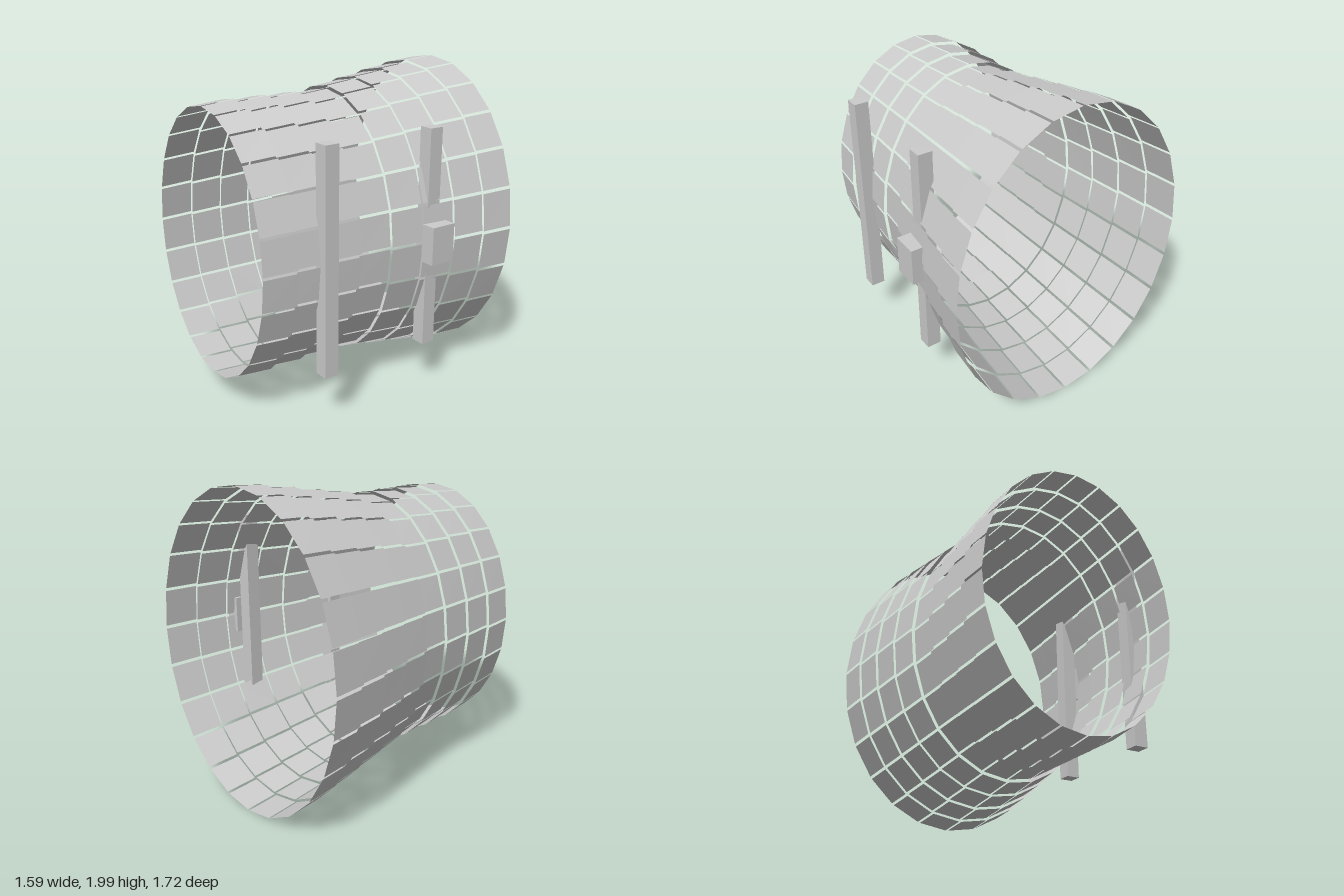
import * as THREE from 'three';

const CENTRE_Y = 1.003;
const SIDES = 24;
const FILL = 0.92; // share of each angular step covered by a panel
const RING_DEPTH = 1.715 / 8;

// One ring of flat panels, flaring from half-height b0 (front) to b1 (back)
function panelRing(zFront, b0, b1) {
  const zBack = zFront - RING_DEPTH;
  const step = (Math.PI * 2) / SIDES;
  const point = (b, angle, z) => [(b - 0.2) * Math.cos(angle), CENTRE_Y + b * Math.sin(angle), z];
  const positions = [];
  for (let i = 0; i < SIDES; i++) {
    const mid = (i + 0.5) * step;
    const a0 = mid - (step * FILL) / 2;
    const a1 = mid + (step * FILL) / 2;
    const f0 = point(b0, a0, zFront), f1 = point(b0, a1, zFront);
    const r0 = point(b1, a0, zBack), r1 = point(b1, a1, zBack);
    positions.push(...f0, ...r0, ...r1, ...f0, ...r1, ...f1);
  }
  const geometry = new THREE.BufferGeometry();
  geometry.setAttribute('position', new THREE.Float32BufferAttribute(positions, 3));
  geometry.computeVertexNormals();
  return geometry;
}

export function createModel() {
  const model = new THREE.Group();
  model.name = 'panelTunnel';
  const grey = new THREE.MeshStandardMaterial({
    name: 'plain grey', color: 0xcccccc, flatShading: true, side: THREE.DoubleSide,
  });

  // Tunnel: four equal rings, then four that widen towards the back
  const tunnel = new THREE.Group();
  tunnel.name = 'tunnelShell';
  const flares = [
    [0.83, 0.85], [0.83, 0.85], [0.83, 0.85], [0.83, 0.85],
    [0.87, 0.893], [0.907, 0.928], [0.944, 0.964], [0.979, 0.997],
  ];
  flares.forEach(([b0, b1], i) => {
    const ring = new THREE.Mesh(panelRing(0.8575 - i * RING_DEPTH, b0, b1), grey);
    ring.name = `panelRing${i + 1}`;
    tunnel.add(ring);
  });
  model.add(tunnel);

  // Two posts on the left side, with a small box on the rear one
  const addBox = (name, size, position) => {
    const mesh = new THREE.Mesh(new THREE.BoxGeometry(...size), grey);
    mesh.name = name;
    mesh.position.set(...position);
    model.add(mesh);
  };
  addBox('frontPost', [0.09, 1.37, 0.09], [0.645, 1.005, 0.45]);
  addBox('rearPost', [0.09, 1.37, 0.09], [0.645, 1.005, -0.293]);
  addBox('controlBox', [0.096, 0.236, 0.165], [0.738, 1.003, -0.293]);

  return model;
}
